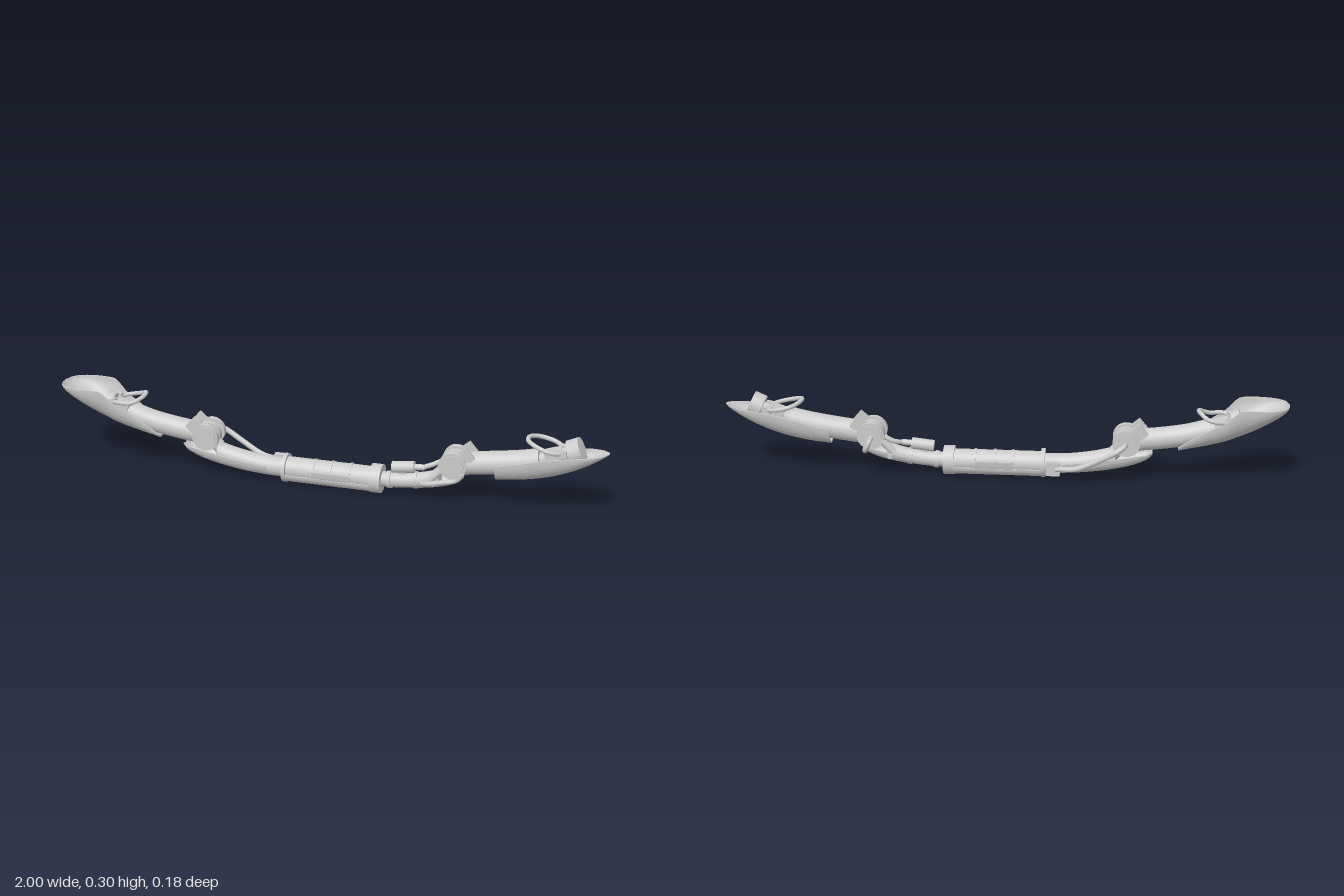
import * as THREE from 'three';
import { toCreasedNormals } from 'three/addons/utils/BufferGeometryUtils.js';

const mat = new THREE.MeshStandardMaterial({ color: 0xcccccc, side: THREE.DoubleSide });
const Z = 0.01; // centre plane of the limbs
const V = (p) => new THREE.Vector3(...p);

function add(parent, name, geo) {
  const m = new THREE.Mesh(geo, mat);
  m.name = name;
  parent.add(m);
  return m;
}

// Straight cylinder between two points
function rod(parent, name, a, b, r, sides = 32, r2 = r) {
  const A = V(a), B = V(b), d = B.clone().sub(A);
  const m = add(parent, name, new THREE.CylinderGeometry(r2, r, d.length(), sides));
  m.position.copy(A).add(B).multiplyScalar(0.5);
  m.quaternion.setFromUnitVectors(new THREE.Vector3(0, 1, 0), d.normalize());
  return m;
}

// Curved pipe with closed ends
function pipe(parent, name, pts, r, sides = 10, seg = 40) {
  const curve = new THREE.CatmullRomCurve3(pts.map(V));
  add(parent, name, new THREE.TubeGeometry(curve, seg, r, sides));
  for (const t of [0, 1]) {
    const p = curve.getPointAt(t), q = p.clone().addScaledVector(curve.getTangentAt(t), t ? -0.006 : 0.006);
    rod(parent, name + 'End', p.toArray(), q.toArray(), r * 1.03, Math.max(sides, 12));
  }
}

function box(parent, name, size, pos, tilt = 0) {
  const m = add(parent, name, new THREE.BoxGeometry(...size));
  m.position.set(...pos);
  m.rotation.z = tilt;
  return m;
}

// Thick trough: stations are [x, rim height, underside height, half width]
function trough(parent, name, stations, wall = 0.007, steps = 24, rings = 36) {
  const curves = [1, 2, 3].map((k) => new THREE.CatmullRomCurve3(
    stations.map((s) => new THREE.Vector3(s[0], s[k], 0)), false, 'centripetal'));
  const pos = [], idx = [], n = (steps + 1) * 2;
  for (let i = 0; i <= rings; i++) {
    const [rim, low, half] = curves.map((c) => c.getPoint(i / rings));
    for (let j = 0; j < n; j++) {
      const inner = j > steps;
      const a = Math.PI * (inner ? n - 1 - j : j) / steps;
      const w = Math.max(half.y - (inner ? wall : 0), 0.001);
      const d = Math.max(rim.y - low.y - (inner ? wall : 0), 0.001);
      pos.push(rim.x, rim.y - d * Math.sin(a), Z + w * Math.cos(a));
    }
  }
  for (let i = 0; i < rings; i++) for (let j = 0; j < n; j++) {
    const a = i * n + j, b = i * n + (j + 1) % n, c = a + n, d = b + n;
    idx.push(a, b, c, b, d, c);
  }
  for (const o of [0, rings * n]) for (let j = 0; j < steps; j++) {
    const a = o + j, b = o + j + 1, c = o + n - 1 - j, d = c - 1;
    if (o) idx.push(a, b, c, b, d, c);
    else idx.push(a, c, b, b, c, d);
  }
  const g = new THREE.BufferGeometry();
  g.setAttribute('position', new THREE.Float32BufferAttribute(pos, 3));
  g.setIndex(idx);
  add(parent, name, toCreasedNormals(g, 0.7));
}

// Hinge: two slotted cheek discs, core and pin
function hinge(parent, x, y, tilt) {
  const g = new THREE.Group();
  g.name = 'hinge';
  g.position.set(x, y, Z);
  g.rotation.z = tilt;
  parent.add(g);
  rod(g, 'hingeCore', [0, 0, -0.04], [0, 0, 0.04], 0.037);
  rod(g, 'hingeTongue', [0, 0, -0.012], [0, 0, 0.012], 0.046);
  for (const s of [-1, 1]) {
    rod(g, 'hingeCheek', [0, 0, s * 0.026], [0, 0, s * 0.046], 0.049);
    rod(g, 'pinHead', [0, 0, s * 0.046], [0, 0, s * 0.051], 0.04);
    for (const k of [-1, 1]) box(g, 'pinSlotLip', [0.066, 0.014, 0.006], [0, k * 0.013, s * 0.053]);
    box(g, 'forkArm', [0.07, 0.05, 0.016], [Math.sign(x) * 0.045, 0, s * 0.03]);
  }
}

// Looped cable above the limb, with its clamps
function loopCable(parent, pts) {
  pipe(parent, 'loopCable', pts, 0.008);
  for (const p of [pts[0], pts[pts.length - 1]]) box(parent, 'cableClamp', [0.03, 0.024, 0.022], p, 0.2);
}

export function createModel() {
  const root = new THREE.Group();
  root.name = 'segmentedBow';
  const part = (name) => {
    const g = new THREE.Group();
    g.name = name;
    root.add(g);
    return g;
  };

  // Grip: core tube, bands, end rings and lower half sleeve
  const grip = part('grip');
  const gy = 0.055;
  rod(grip, 'gripCore', [-0.15, gy, Z], [0.2, gy, Z], 0.041);
  for (const x of [-0.035, 0.03, 0.1]) rod(grip, 'gripBand', [x - 0.004, gy, Z], [x + 0.004, gy, Z], 0.044);
  rod(grip, 'leftRing', [-0.15, gy, Z], [-0.136, gy, Z], 0.052, 40);
  rod(grip, 'rightRing', [0.175, gy, Z], [0.214, gy, Z], 0.052, 40);
  trough(grip, 'gripSleeve', [[-0.136, 0.042, 0.007, 0.047], [0.02, 0.042, 0.007, 0.047], [0.175, 0.042, 0.007, 0.047]], 0.006);
  trough(grip, 'gripPlate', [[-0.035, 0.068, 0.006, 0.049], [0.03, 0.068, 0.006, 0.049], [0.1, 0.068, 0.006, 0.049]], 0.006);

  // Lower limb on the -x side
  const lowA = part('rightLowerLimb');
  pipe(lowA, 'limbTube', [[-0.14, 0.055, Z], [-0.22, 0.056, Z], [-0.32, 0.069, Z], [-0.40, 0.088, Z]], 0.035, 32);
  trough(lowA, 'limbShell', [[-0.53, 0.112, 0.1, 0.02], [-0.515, 0.107, 0.085, 0.031], [-0.47, 0.1, 0.062, 0.038],
    [-0.38, 0.085, 0.039, 0.04], [-0.29, 0.072, 0.026, 0.04], [-0.21, 0.063, 0.02, 0.039]]);
  rod(lowA, 'hingeArm', [-0.38, 0.085, Z], [-0.435, 0.15, Z], 0.024);
  box(lowA, 'cableSocket', [0.05, 0.05, 0.022], [-0.18, 0.055, -0.046]);
  pipe(lowA, 'sideCable', [[-0.435, 0.15, -0.04], [-0.43, 0.152, -0.066], [-0.405, 0.137, -0.08],
    [-0.34, 0.1, -0.076], [-0.26, 0.062, -0.063], [-0.19, 0.055, -0.05]], 0.01);

  // Lower limb on the +x side
  const lowB = part('leftLowerLimb');
  pipe(lowB, 'limbTube', [[0.2, 0.055, Z], [0.27, 0.058, Z], [0.35, 0.069, Z], [0.42, 0.088, Z]], 0.027, 28);
  for (const [x, y] of [[0.24, 0.056], [0.335, 0.067]]) rod(lowB, 'limbCollar', [x - 0.008, y - 0.001, Z], [x + 0.008, y + 0.001, Z], 0.031);
  trough(lowB, 'limbShell', [[0.33, 0.068, 0.037, 0.033], [0.4, 0.082, 0.049, 0.035], [0.45, 0.094, 0.062, 0.034],
    [0.49, 0.104, 0.08, 0.027], [0.505, 0.108, 0.095, 0.016]], 0.006);
  rod(lowB, 'canister', [0.25, 0.106, Z], [0.33, 0.115, Z], 0.021, 24);
  rod(lowB, 'canisterNozzle', [0.33, 0.115, Z], [0.365, 0.117, Z], 0.011, 16);
  box(lowB, 'canisterMount', [0.03, 0.035, 0.018], [0.285, 0.09, Z], 0.1);
  pipe(lowB, 'canisterHose', [[0.36, 0.117, Z], [0.39, 0.125, -0.005], [0.42, 0.14, -0.01], [0.45, 0.155, -0.01]], 0.009);
  for (const s of [-1, 1]) rod(lowB, 'hingeArm', [0.385, 0.075, Z + s * 0.018], [0.455, 0.15, Z + s * 0.018], 0.014, 16);
  rod(lowB, 'shellBolt', [0.405, 0.075, Z - 0.042], [0.405, 0.075, Z + 0.042], 0.009, 16);
  pipe(lowB, 'wrapCable', [[0.36, 0.066, 0.036], [0.39, 0.075, 0.053], [0.44, 0.09, 0.06], [0.48, 0.097, 0.053],
    [0.495, 0.098, 0.01], [0.492, 0.1, -0.045], [0.482, 0.118, -0.073], [0.472, 0.142, -0.073], [0.468, 0.15, -0.04]], 0.009, 10, 60);

  // Hinges
  hinge(root, -0.437, 0.152, -0.7);
  hinge(root, 0.472, 0.152, 0.7);

  // Upper limb on the -x side, ending in a broad scoop
  const upA = part('rightUpperLimb');
  pipe(upA, 'limbTube', [[-0.475, 0.153, Z], [-0.56, 0.163, Z], [-0.65, 0.178, Z], [-0.735, 0.201, Z]], 0.039, 32);
  trough(upA, 'scoop', [[-1, 0.298, 0.293, 0.012], [-0.99, 0.298, 0.28, 0.045], [-0.965, 0.298, 0.258, 0.067],
    [-0.92, 0.298, 0.228, 0.081], [-0.87, 0.298, 0.199, 0.081], [-0.83, 0.294, 0.18, 0.077], [-0.78, 0.248, 0.16, 0.069],
    [-0.72, 0.212, 0.143, 0.059], [-0.66, 0.172, 0.13, 0.05], [-0.62, 0.142, 0.122, 0.041]]);
  rod(upA, 'neckRod', [-0.73, 0.2, Z], [-0.82, 0.23, Z], 0.022, 20);
  rod(upA, 'endPlug', [-0.81, 0.227, Z], [-0.84, 0.239, Z], 0.042);
  box(upA, 'neckSaddle', [0.055, 0.03, 0.05], [-0.77, 0.226, Z], -0.32);
  loopCable(upA, [[-0.8, 0.245, 0.035], [-0.77, 0.25, 0.052], [-0.725, 0.25, 0.045], [-0.69, 0.267, 0.02],
    [-0.69, 0.272, -0.02], [-0.72, 0.256, -0.052], [-0.77, 0.246, -0.05], [-0.8, 0.242, -0.025]]);

  // Upper limb on the +x side, ending in a slim scoop and round plug
  const upB = part('leftUpperLimb');
  pipe(upB, 'limbTube', [[0.51, 0.153, Z], [0.6, 0.165, Z], [0.7, 0.181, Z], [0.77, 0.196, Z]], 0.041, 32);
  trough(upB, 'scoop', [[0.62, 0.172, 0.108, 0.051], [0.7, 0.191, 0.117, 0.054], [0.8, 0.217, 0.139, 0.055],
    [0.88, 0.231, 0.17, 0.054], [0.94, 0.239, 0.203, 0.047], [0.98, 0.244, 0.23, 0.03], [1, 0.247, 0.243, 0.008]]);
  rod(upB, 'neckRod', [0.76, 0.195, Z], [0.88, 0.237, Z], 0.024, 20);
  rod(upB, 'endPlug', [0.868, 0.234, Z], [0.908, 0.252, Z], 0.044);
  box(upB, 'neckSaddle', [0.06, 0.03, 0.05], [0.815, 0.225, Z], 0.32);
  loopCable(upB, [[0.845, 0.236, 0.035], [0.81, 0.243, 0.055], [0.765, 0.255, 0.05], [0.727, 0.267, 0.025],
    [0.725, 0.268, -0.015], [0.755, 0.258, -0.05], [0.805, 0.246, -0.053], [0.845, 0.236, -0.025]]);

  return root;
}
